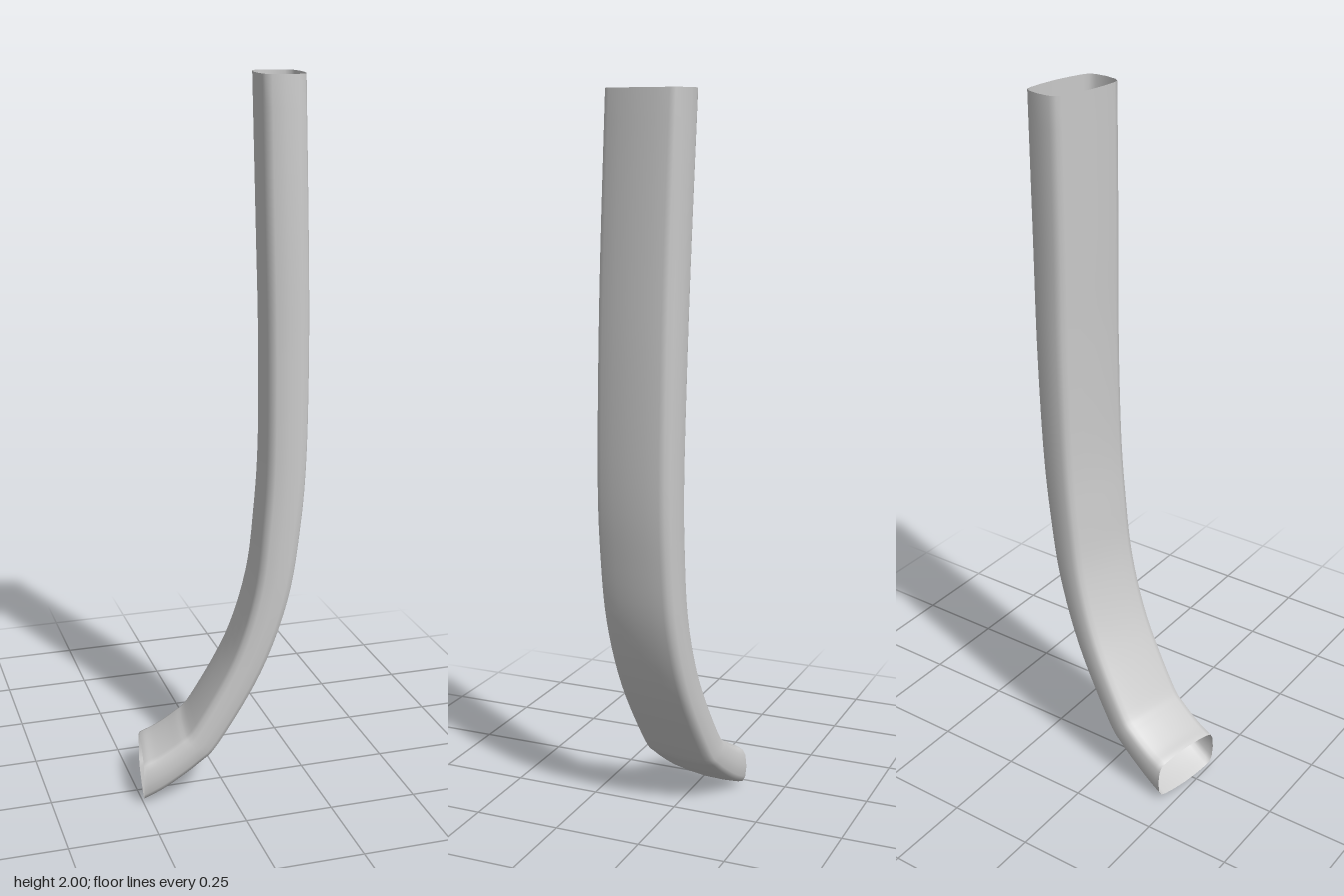
import * as THREE from 'three';

// Broad axis (u) and thin axis (w) of the tube's section, both horizontal
const u = new THREE.Vector3(-0.17, 0, 0.985);
const w = new THREE.Vector3(0.985, 0, 0.17);

// Stations from the top down: centre x, y, z, thickness factor, section tilt in degrees
const stations = [
  [0.157, 2.0, -0.006, 0.94, 0],
  [0.165, 1.6, 0.008, 0.94, 0],
  [0.170, 1.3, 0.016, 0.92, 0],
  [0.167, 1.0, 0.024, 0.89, 2],
  [0.153, 0.8, 0.027, 0.86, 6],
  [0.125, 0.6, 0.026, 0.80, 13],
  [0.060, 0.4, 0.017, 0.74, 25],
  [-0.050, 0.2, 0.0, 0.72, 41],
  [-0.100, 0.147, -0.008, 0.73, 49],
  [-0.170, 0.097, -0.018, 0.78, 62],
  [-0.230, 0.065, -0.027, 0.92, 90],
];

// One quarter of the rounded section, mirrored to the full closed loop
function sectionLoop() {
  const q = [[0.069, 0], [0.066, 0.05], [0.06, 0.09], [0.054, 0.105], [0.037, 0.114], [0, 0.118]];
  const half = [...q, ...q.slice(0, -1).reverse().map(([a, b]) => [-a, b])];
  return [...half, ...half.slice(1, -1).reverse().map(([a, b]) => [a, -b])];
}

function bentTube(steps) {
  const spline = (f) => new THREE.CatmullRomCurve3(stations.map(f), false, 'catmullrom', 0.5);
  const centre = spline((s) => new THREE.Vector3(s[0], s[1], s[2]));
  const shape = spline((s) => new THREE.Vector3(s[3], THREE.MathUtils.degToRad(s[4]), 0));
  const loop = sectionLoop();
  const n = loop.length;
  const positions = [];
  const index = [];
  for (let i = 0; i <= steps; i++) {
    const c = centre.getPoint(i / steps);
    const s = shape.getPoint(i / steps);
    const across = w.clone().multiplyScalar(Math.cos(s.y));
    across.y = -Math.sin(s.y);
    for (const [a, b] of loop) {
      const p = c.clone().addScaledVector(across, a * s.x).addScaledVector(u, b);
      positions.push(p.x, p.y, p.z);
    }
    if (i === steps) break;
    for (let j = 0; j < n; j++) {
      const a = i * n + j;
      const b = i * n + ((j + 1) % n);
      index.push(a, b, a + n, b, b + n, a + n);
    }
  }
  const geometry = new THREE.BufferGeometry();
  geometry.setAttribute('position', new THREE.Float32BufferAttribute(positions, 3));
  geometry.setIndex(index);
  geometry.computeVertexNormals();
  return geometry;
}

export function createModel() {
  const group = new THREE.Group();
  group.name = 'bentPipe';
  // Thin open-ended pipe wall
  const material = new THREE.MeshStandardMaterial({ color: 0xcccccc, side: THREE.DoubleSide });
  const pipe = new THREE.Mesh(bentTube(50), material);
  pipe.name = 'pipeWall';
  group.add(pipe);
  return group;
}
